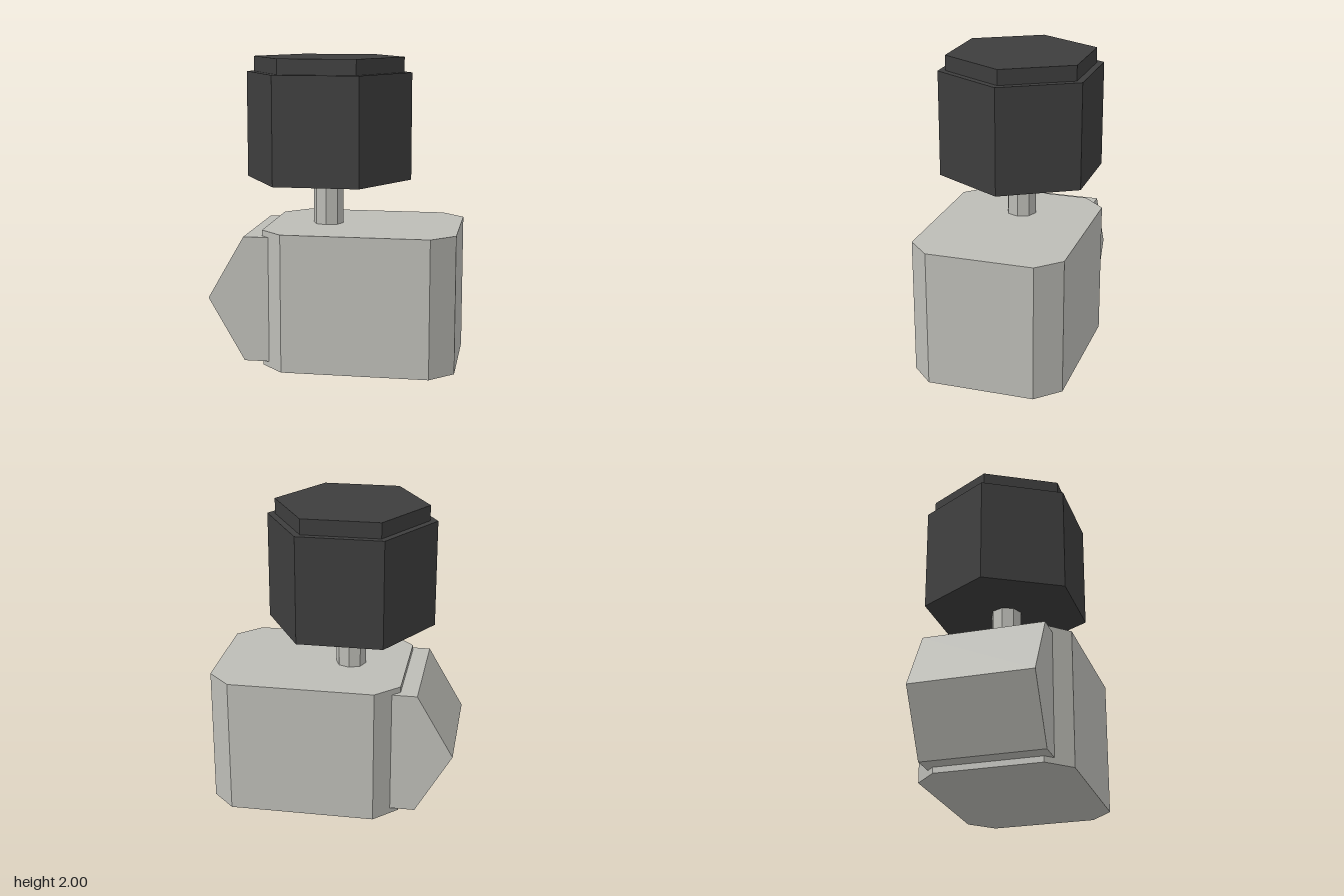
import * as THREE from 'three';

export function createModel() {
  const group = new THREE.Group();
  const stone = new THREE.MeshStandardMaterial({ color: 0xbcbcb6 });
  stone.name = 'light grey';
  const charcoal = new THREE.MeshStandardMaterial({ color: 0x3d3d3d });
  charcoal.name = 'charcoal';
  stone.flatShading = charcoal.flatShading = true;

  const add = (name, geometry, material, x, y) => {
    const mesh = new THREE.Mesh(geometry, material);
    mesh.name = name;
    mesh.position.set(x, y, 0);
    group.add(mesh);
  };
  // Upright prism with two corners on the x axis
  const prism = (radius, height, sides) =>
    new THREE.CylinderGeometry(radius, radius, height, sides).rotateY(Math.PI / 2);

  // Base block with chamfered vertical corners
  const w = 0.625, d = 0.5, c = 0.15;
  const outline = new THREE.Shape([
    [-w + c, -d], [w - c, -d], [w, -d + c], [w, d - c],
    [w - c, d], [-w + c, d], [-w, d - c], [-w, -d + c],
  ].map(([x, y]) => new THREE.Vector2(x, y)));
  const base = new THREE.ExtrudeGeometry(outline, { depth: 0.9, bevelEnabled: false });
  base.rotateX(-Math.PI / 2);
  add('baseBlock', base, stone, 0.175, 0);

  // Hexagonal bar lying along z, half sunk in the base
  add('sideBar', prism(0.475, 0.8, 6).rotateX(Math.PI / 2), stone, -0.325, 0.45);

  // Stem, knob and stepped cap share one axis
  const axis = -0.075;
  add('stem', prism(0.1, 0.32, 8), stone, axis, 1.05);
  add('knob', prism(0.55, 0.7, 6), charcoal, axis, 1.55);
  add('knobCap', prism(0.5, 0.1, 6), charcoal, axis, 1.95);

  return group;
}
